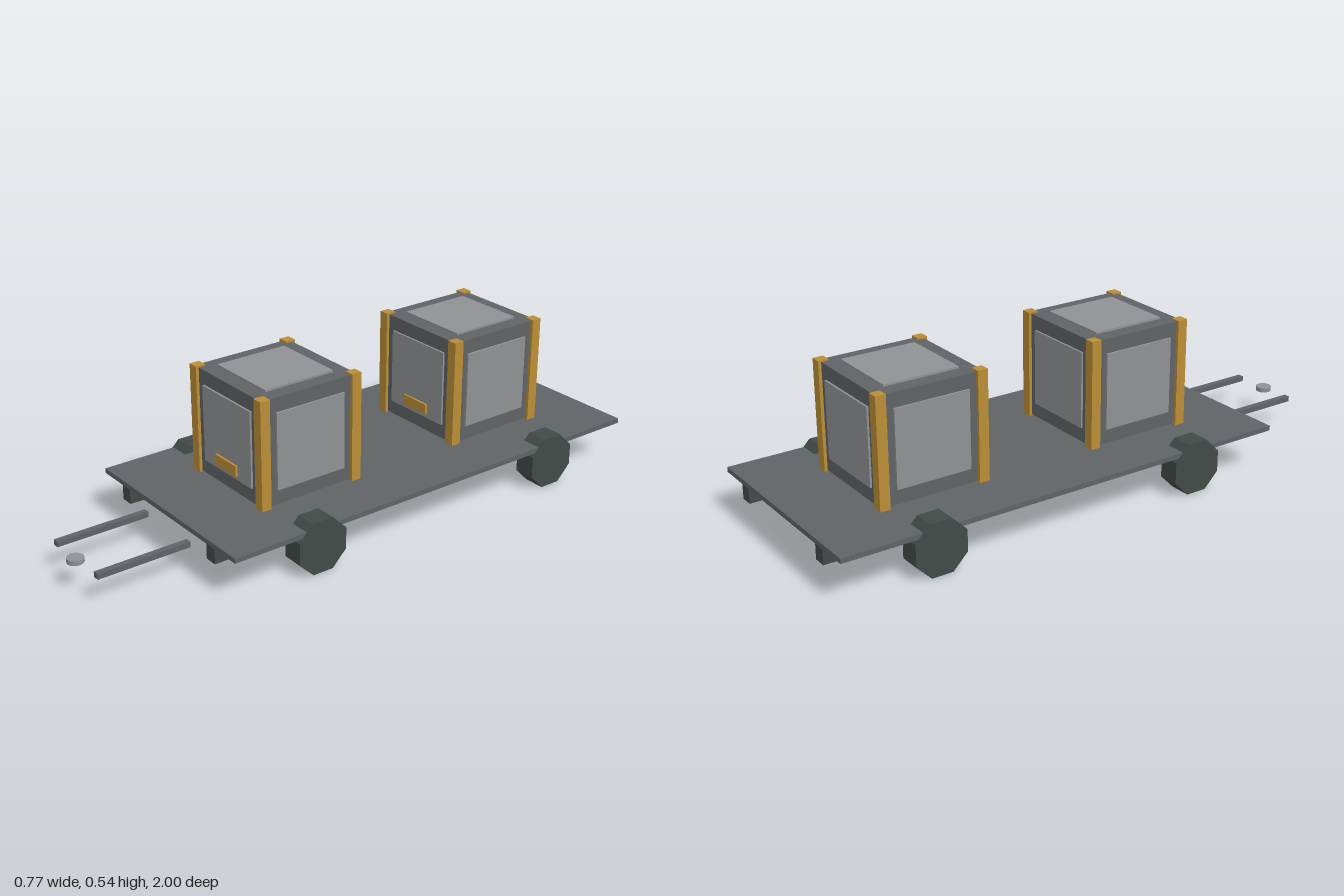
import * as THREE from 'three';

const mat = (name, color) => {
  const m = new THREE.MeshStandardMaterial({ color });
  m.name = name;
  return m;
};

export function createModel() {
  const deckGrey = mat('deck grey', 0x5f6366);
  const chassisGrey = mat('chassis dark grey', 0x424947);
  const panelGrey = mat('panel light grey', 0x909194);
  const ochre = mat('ochre trim', 0xb98d36);

  const model = new THREE.Group();
  model.name = 'cargoTrailer';

  // Box given by its minimum and maximum corners
  const box = (parent, name, material, [x0, y0, z0], [x1, y1, z1]) => {
    const mesh = new THREE.Mesh(new THREE.BoxGeometry(x1 - x0, y1 - y0, z1 - z0), material);
    mesh.position.set((x0 + x1) / 2, (y0 + y1) / 2, (z0 + z1) / 2);
    mesh.name = name;
    parent.add(mesh);
    return mesh;
  };

  // Flat bed
  box(model, 'deck', deckGrey, [-0.38, 0.14, -1], [0.38, 0.157, 0.645]);

  // Long chassis rails and drawbar arms
  for (const s of [-1, 1]) {
    box(model, 'chassisRail', chassisGrey, [s * 0.2475 - 0.0225, 0.088, -1], [s * 0.2475 + 0.0225, 0.14, 0.645]);
    box(model, 'drawbarArm', deckGrey, [s * 0.124 - 0.011, 0.088, 0.645], [s * 0.124 + 0.011, 0.107, 0.972]);
  }

  // Hitch disc at the tip of the drawbar
  const hitch = new THREE.Mesh(new THREE.CylinderGeometry(0.028, 0.028, 0.016, 12), panelGrey);
  hitch.position.set(0, 0.097, 0.972);
  hitch.name = 'hitchDisc';
  model.add(hitch);

  // Axle plates with octagonal wheels, flat side down
  const wheelGeo = new THREE.CylinderGeometry(0.0974, 0.0974, 0.075, 8).toNonIndexed();
  wheelGeo.rotateY(Math.PI / 8).rotateZ(Math.PI / 2);
  wheelGeo.computeVertexNormals();
  for (const z of [0.32, -0.667]) {
    box(model, 'axlePlate', chassisGrey, [-0.255, 0.086, z - 0.13], [0.255, 0.12, z + 0.13]);
    for (const s of [-1, 1]) {
      const wheel = new THREE.Mesh(wheelGeo, chassisGrey);
      wheel.position.set(s * 0.346, 0.09, z);
      wheel.name = 'wheel';
      model.add(wheel);
    }
  }

  // Crate: body, raised panels, corner posts and a front label plate
  const makeCrate = (z) => {
    const crate = new THREE.Group();
    crate.name = 'crate';
    crate.position.z = z;
    box(crate, 'crateBody', deckGrey, [-0.185, 0.164, -0.185], [0.185, 0.53, 0.185]);
    box(crate, 'topPanel', panelGrey, [-0.132, 0.53, -0.132], [0.132, 0.537, 0.132]);
    for (let i = 0; i < 4; i++) {
      const side = new THREE.Group();
      side.name = 'crateSide';
      side.rotation.y = i * Math.PI / 2;
      box(side, 'sidePanel', panelGrey, [-0.132, 0.215, 0.185], [0.132, 0.48, 0.192]);
      box(side, 'cornerPost', ochre, [0.16, 0.16, 0.16], [0.196, 0.535, 0.196]);
      crate.add(side);
    }
    box(crate, 'labelPlate', ochre, [-0.058, 0.23, 0.192], [0.058, 0.267, 0.2]);
    return crate;
  };
  for (const z of [0.22, -0.57]) model.add(makeCrate(z));

  return model;
}
